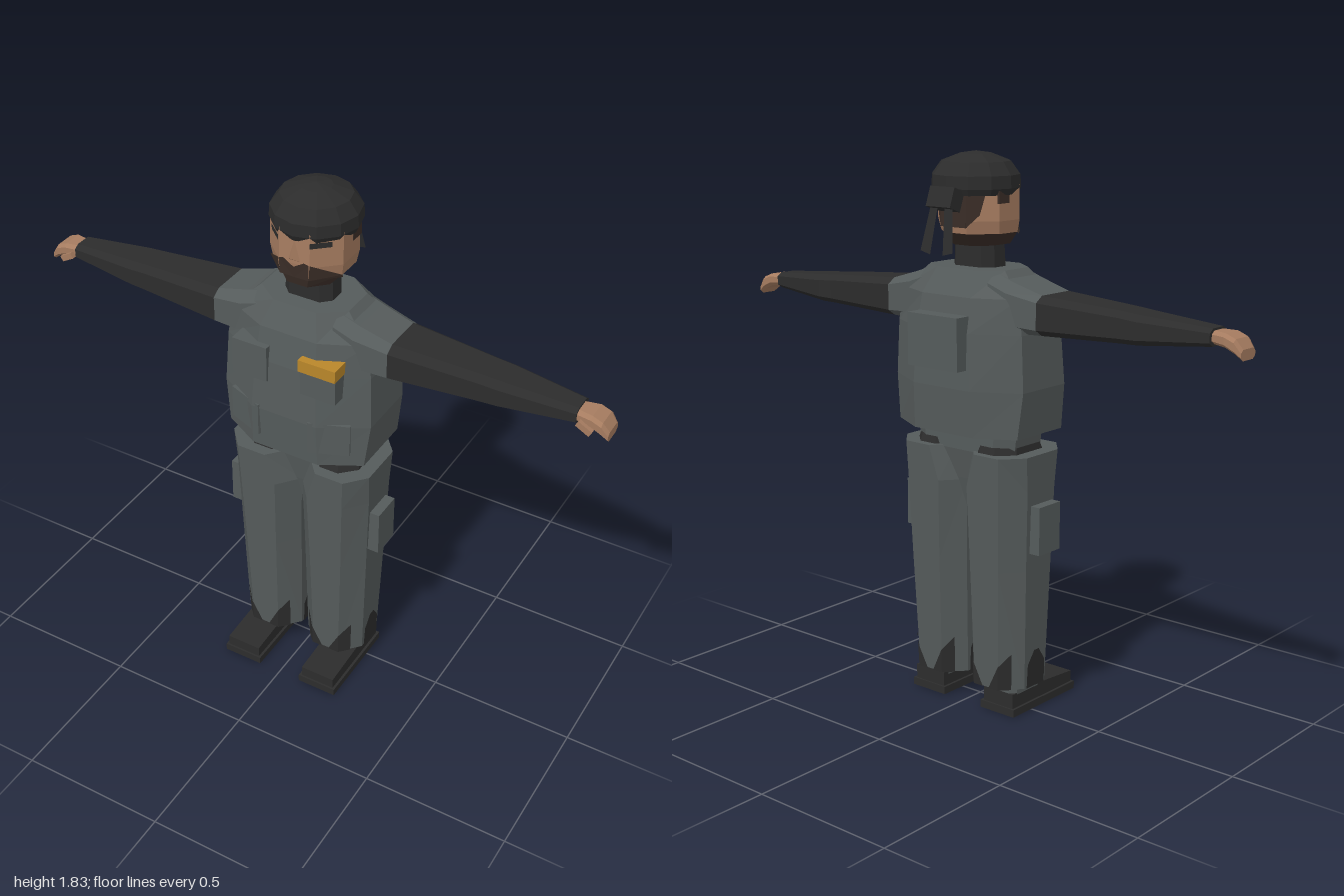
import * as THREE from 'three';

const paint = (name, color) => {
  const m = new THREE.MeshStandardMaterial({ color });
  m.name = name;
  return m;
};

// Eight-sided ring: a rectangle in x/z with cut corners (cx, cz) at height y
const ring = ([y, x0, x1, z0, z1, cx, cz]) => [
  [x1, z1 - cz], [x1, z0 + cz], [x1 - cx, z0], [x0 + cx, z0],
  [x0, z0 + cz], [x0, z1 - cz], [x0 + cx, z1], [x1 - cx, z1],
].map(([x, z]) => new THREE.Vector3(x, y, z));

const fromTriangles = (points) => {
  const g = new THREE.BufferGeometry().setFromPoints(points);
  g.computeVertexNormals();
  return g;
};

// Faceted skin through a stack of rings, closed at both ends
function loft(sections) {
  const r = sections.map(ring), t = [];
  for (let k = 0; k < r.length - 1; k++)
    for (let i = 0; i < 8; i++) {
      const j = (i + 1) % 8;
      t.push(r[k][i], r[k][j], r[k + 1][j], r[k][i], r[k + 1][j], r[k + 1][i]);
    }
  const top = r[r.length - 1];
  for (let i = 1; i < 7; i++) t.push(r[0][0], r[0][i + 1], r[0][i], top[0], top[i], top[i + 1]);
  return fromTriangles(t);
}

// Same, running outwards along +x; sections are [x, yLow, yHigh, zBack, zFront, cutY, cutZ]
const loftX = (sections) =>
  loft(sections.map(([x, y0, y1, ...rest]) => [x, -y1, -y0, ...rest])).rotateZ(-Math.PI / 2);

// Mirrored copy across x = 0, with the corner order kept outward
function mirror(g) {
  const p = (g.index ? g.toNonIndexed() : g).attributes.position, t = [];
  for (let i = 0; i < p.count; i += 3)
    for (const k of [0, 2, 1]) t.push(new THREE.Vector3(-p.getX(i + k), p.getY(i + k), p.getZ(i + k)));
  return fromTriangles(t);
}

const box = (x0, x1, y0, y1, z0, z1) =>
  new THREE.BoxGeometry(x1 - x0, y1 - y0, z1 - z0).translate((x0 + x1) / 2, (y0 + y1) / 2, (z0 + z1) / 2);

// Thin flat patch from a fan of corners, visible from both sides
const patch = (corners) => {
  const p = corners.map((c) => (c.isVector3 ? c : new THREE.Vector3(...c))), t = [];
  for (let i = 1; i < p.length - 1; i++) t.push(p[0], p[i], p[i + 1], p[0], p[i + 1], p[i]);
  return fromTriangles(t);
};

export function createModel() {
  const model = new THREE.Group();
  const grey = paint('uniform grey', 0x555b5b);
  const dark = paint('dark cloth', 0x2c2c2c);
  const skin = paint('skin', 0xa67c60);
  const beard = paint('beard brown', 0x3a2d27);
  const yellow = paint('badge yellow', 0xb9862a);

  const add = (name, geometry, material) => {
    const m = new THREE.Mesh(geometry, material);
    m.name = name;
    model.add(m);
  };
  const pair = (name, geometry, material) => {
    add('left' + name, geometry, material);
    add('right' + name, mirror(geometry), material);
  };

  // Jacket
  add('jacket', loft([
    [0.95, -0.25, 0.25, -0.187, 0.178, 0.13, 0.07],
    [1.1, -0.267, 0.267, -0.195, 0.185, 0.15, 0.085],
    [1.28, -0.258, 0.258, -0.188, 0.17, 0.15, 0.08],
    [1.39, -0.24, 0.24, -0.168, 0.15, 0.14, 0.065],
    [1.47, -0.155, 0.155, -0.125, 0.11, 0.08, 0.06],
  ]), grey);
  pair('Shoulder', loftX([
    [0.13, 1.28, 1.465, -0.12, 0.105, 0.03, 0.04],
    [0.2, 1.28, 1.44, -0.12, 0.105, 0.03, 0.04],
    [0.31, 1.283, 1.408, -0.105, 0.09, 0.02, 0.03],
  ]), grey);

  // Arms
  pair('Sleeve', loftX([
    [0.308, 1.283, 1.408, -0.105, 0.09, 0.02, 0.03],
    [0.6, 1.292, 1.39, -0.086, 0.064, 0.018, 0.025],
    [0.66, 1.293, 1.385, -0.086, 0.06, 0.018, 0.025],
    [0.9, 1.315, 1.368, -0.055, 0.036, 0.012, 0.018],
  ]), dark);
  pair('Hand', loftX([
    [0.89, 1.323, 1.362, -0.042, 0.03, 0.01, 0.015],
    [0.945, 1.318, 1.36, -0.054, 0.036, 0.01, 0.012],
    [0.978, 1.303, 1.347, -0.054, 0.036, 0.01, 0.012],
    [1.0, 1.285, 1.318, -0.048, 0.03, 0.01, 0.012],
  ]), skin);
  pair('Thumb', box(-0.025, 0.025, -0.01, 0.01, -0.01, 0.01).rotateZ(-0.5).translate(0.93, 1.322, 0.038), skin);

  // Pockets, badge and back pouch
  pair('ChestPocket', box(0.06, 0.185, 1.21, 1.335, 0.11, 0.182), grey);
  add('badge', box(0.056, 0.186, 1.295, 1.337, 0.12, 0.187), yellow);
  pair('LowerPocket', new THREE.BoxGeometry(0.135, 0.115, 0.05).rotateY(0.36).translate(0.145, 1.055, 0.143), grey);
  add('backPouch', box(-0.103, 0.103, 1.165, 1.335, -0.235, -0.16), grey);

  // Trousers
  add('hips', loft([
    [0.62, -0.012, 0.012, -0.05, 0.05, 0.005, 0.03],
    [0.78, -0.06, 0.06, -0.09, 0.085, 0.03, 0.03],
    [0.88, -0.2, 0.2, -0.11, 0.1, 0.06, 0.04],
    [0.96, -0.21, 0.21, -0.11, 0.1, 0.06, 0.04],
  ]), grey);
  pair('WaistFlap', loft([
    [0.87, 0.04, 0.21, -0.125, 0.12, 0.05, 0.05],
    [0.907, 0.045, 0.205, -0.113, 0.104, 0.05, 0.05],
  ]), dark);
  const hem = [0.09, 0.013, 0.232, -0.115, 0.12, 0.06, 0.065];
  const knee = [0.5, 0.007, 0.245, -0.132, 0.135, 0.06, 0.07];
  pair('TrouserLeg', loft([
    hem, knee,
    [0.77, 0.001, 0.253, -0.142, 0.147, 0.06, 0.075],
    [0.885, 0.036, 0.257, -0.147, 0.152, 0.06, 0.07],
  ]), grey);
  // Pointed dark patches around the hem, placed by ring edge, share along it and height
  const low = ring(hem), high = ring(knee);
  const centre = new THREE.Vector3(0.122, 0, 0);
  const onLeg = (i, u, h) => {
    const at = (r) => r[i].clone().lerp(r[(i + 1) % 8], u);
    const p = at(low).lerp(at(high), h);
    const out = p.clone().sub(centre).setY(0).normalize();
    return p.addScaledVector(out, 0.004);
  };
  for (const i of [0, 4])
    pair('HemSide', patch([[0.08, 0], [0.92, 0], [0.88, 0.2], [0.6, 0.31], [0.4, 0.31], [0.12, 0.2]]
      .map(([u, h]) => onLeg(i, u, h))), dark);
  for (const [i, u] of [[1, 1], [3, 0], [5, 1], [7, 0]])
    pair('HemCorner', patch([onLeg(i, u, 0), onLeg(i, 0.5, 0), onLeg(i, 0.5, 0.31), onLeg(i, u, 0.2)]), dark);
  for (const [i, u] of [[2, 0], [2, 1], [6, 0], [6, 1]])
    pair('HemPoint', patch([onLeg(i, u, 0), onLeg(i, u ? 0.62 : 0.38, 0), onLeg(i, u, 0.2)]), dark);
  pair('ThighPouch', box(0.22, 0.286, 0.56, 0.72, -0.047, 0.06), grey);

  // Boots
  pair('Ankle', loft([
    [0.05, 0.09, 0.212, -0.085, 0.06, 0.02, 0.02],
    [0.11, 0.085, 0.215, -0.085, 0.07, 0.02, 0.02],
  ]), grey);
  const side = new THREE.Shape([[-0.088, 0.02], [0.228, 0.02], [0.228, 0.064], [0.07, 0.075], [-0.088, 0.075]]
    .map(([a, b]) => new THREE.Vector2(a, b)));
  pair('Boot', new THREE.ExtrudeGeometry(side, { depth: 0.124, bevelEnabled: false })
    .rotateY(-Math.PI / 2).translate(0.213, 0, 0), dark);
  pair('Sole', box(0.08, 0.222, 0, 0.026, -0.095, 0.235), dark);

  // Neck and head
  add('neck', loft([
    [1.45, -0.085, 0.085, -0.06, 0.055, 0.03, 0.03],
    [1.58, -0.08, 0.08, -0.06, 0.05, 0.03, 0.03],
  ]), dark);
  const jaw = [1.58, -0.122, 0.122, -0.122, 0.106, 0.075, 0.07];
  add('jaw', loft([[1.54, -0.085, 0.085, -0.09, 0.095, 0.05, 0.05], jaw]), beard);
  add('face', loft([
    jaw,
    [1.62, -0.128, 0.128, -0.13, 0.11, 0.075, 0.07],
    [1.73, -0.128, 0.128, -0.13, 0.108, 0.075, 0.07],
  ]), skin);
  add('nose', fromTriangles([
    [-0.022, 1.63, 0.108], [0.022, 1.63, 0.108], [0, 1.65, 0.134],
    [0.022, 1.63, 0.108], [0, 1.705, 0.106], [0, 1.65, 0.134],
    [0, 1.705, 0.106], [-0.022, 1.63, 0.108], [0, 1.65, 0.134],
  ].map((p) => new THREE.Vector3(...p))), skin);
  // Beard over the mouth and cheeks, eyes, side hair and nape
  pair('Moustache', patch([[0, 1.575, 0.112], [0.05, 1.575, 0.111], [0.052, 1.63, 0.114], [0.035, 1.634, 0.115], [0, 1.612, 0.115]]), beard);
  pair('CheekBeard', patch([[0.05, 1.575, 0.111], [0.126, 1.575, 0.038], [0.127, 1.585, 0.042], [0.055, 1.63, 0.114]]), beard);
  pair('Eye', patch([[0.054, 1.686, 0.112], [0.105, 1.686, 0.065], [0.105, 1.704, 0.065], [0.054, 1.704, 0.112]]), dark);
  pair('Sideburn', box(0.124, 0.131, 1.675, 1.715, -0.065, -0.015), beard);
  pair('NeckHair', patch([[0.1, 1.71, -0.091], [0.052, 1.71, -0.134], [0.052, 1.6, -0.132], [0.085, 1.64, -0.104]]), beard);
  add('napeHair', box(-0.052, 0.052, 1.6, 1.71, -0.134, -0.126), beard);

  // Head scarf with knot and two tails
  const dome = [[0.134, 1.7], [0.144, 1.72], [0.142, 1.76], [0.112, 1.801], [0.05, 1.825], [0, 1.832]];
  const cap = new THREE.LatheGeometry(dome.map(([r, y]) => new THREE.Vector2(r, y)), 12).toNonIndexed();
  cap.computeVertexNormals();
  add('headScarf', cap.translate(0, 0, -0.022), dark);
  add('scarfUnderside', new THREE.CircleGeometry(0.134, 12).rotateX(Math.PI / 2).translate(0, 1.7, -0.022), dark);
  add('scarfKnot', new THREE.BoxGeometry(0.1, 0.065, 0.05).rotateX(0.35).translate(0, 1.69, -0.17), dark);
  pair('ScarfTail', patch([[0.012, 1.69, -0.185], [0.042, 1.69, -0.182], [0.066, 1.53, -0.212], [0.026, 1.52, -0.212]]), dark);

  return model;
}
